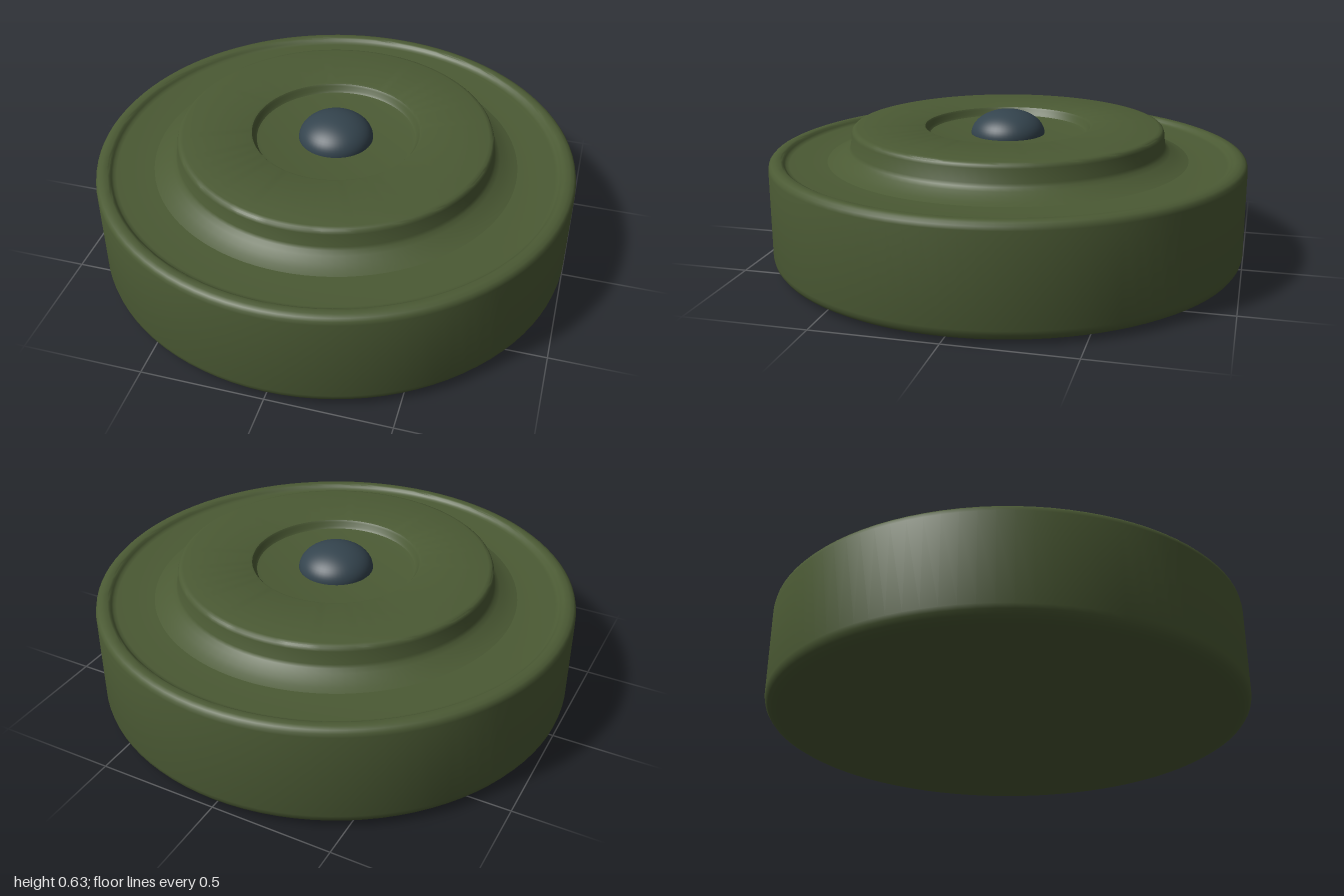
import * as THREE from 'three';
import { toCreasedNormals } from 'three/addons/utils/BufferGeometryUtils.js';

const green = new THREE.MeshStandardMaterial({ color: 0x4b5a34 });
const slate = new THREE.MeshStandardMaterial({ color: 0x34444e });

// Round part turned from a profile of [radius, height] pairs, listed upwards
function turned(name, profile, material, sides = 96) {
  const points = profile.map(([r, y]) => new THREE.Vector2(r, y));
  const geometry = toCreasedNormals(new THREE.LatheGeometry(points, sides), 0.6);
  const mesh = new THREE.Mesh(geometry, material);
  mesh.name = name;
  return mesh;
}

export function createModel() {
  const model = new THREE.Group();
  model.name = 'roundCanister';

  // Drum with rounded edges, a raised rim and a sunken top
  model.add(turned('drum', [
    [0, 0], [0.75, 0], [0.94, 0.008], [0.965, 0.014], [0.985, 0.026], [0.996, 0.042], [1, 0.06],
    [1, 0.425], [0.997, 0.44], [0.988, 0.45], [0.972, 0.456], [0.95, 0.456],
    [0.942, 0.452], [0.936, 0.444], [0.928, 0.437], [0.915, 0.435], [0.74, 0.435],
  ], green));

  // Raised plate with a flared foot and a round recess in the middle
  model.add(turned('topPlate', [
    [0.76, 0.435], [0.735, 0.443], [0.71, 0.455], [0.685, 0.469], [0.668, 0.481], [0.661, 0.494],
    [0.656, 0.548], [0.652, 0.56], [0.645, 0.566], [0.632, 0.569],
    [0.358, 0.569], [0.349, 0.566], [0.343, 0.558], [0.338, 0.542], [0.33, 0.533], [0.316, 0.53],
    [0, 0.53],
  ], green));

  // Domed cap sitting in the recess
  const cap = new THREE.Mesh(new THREE.SphereGeometry(1, 48, 16, 0, Math.PI * 2, 0, Math.PI / 2), slate);
  cap.name = 'domedCap';
  cap.scale.set(0.155, 0.1, 0.155);
  cap.position.y = 0.529;
  model.add(cap);

  return model;
}
